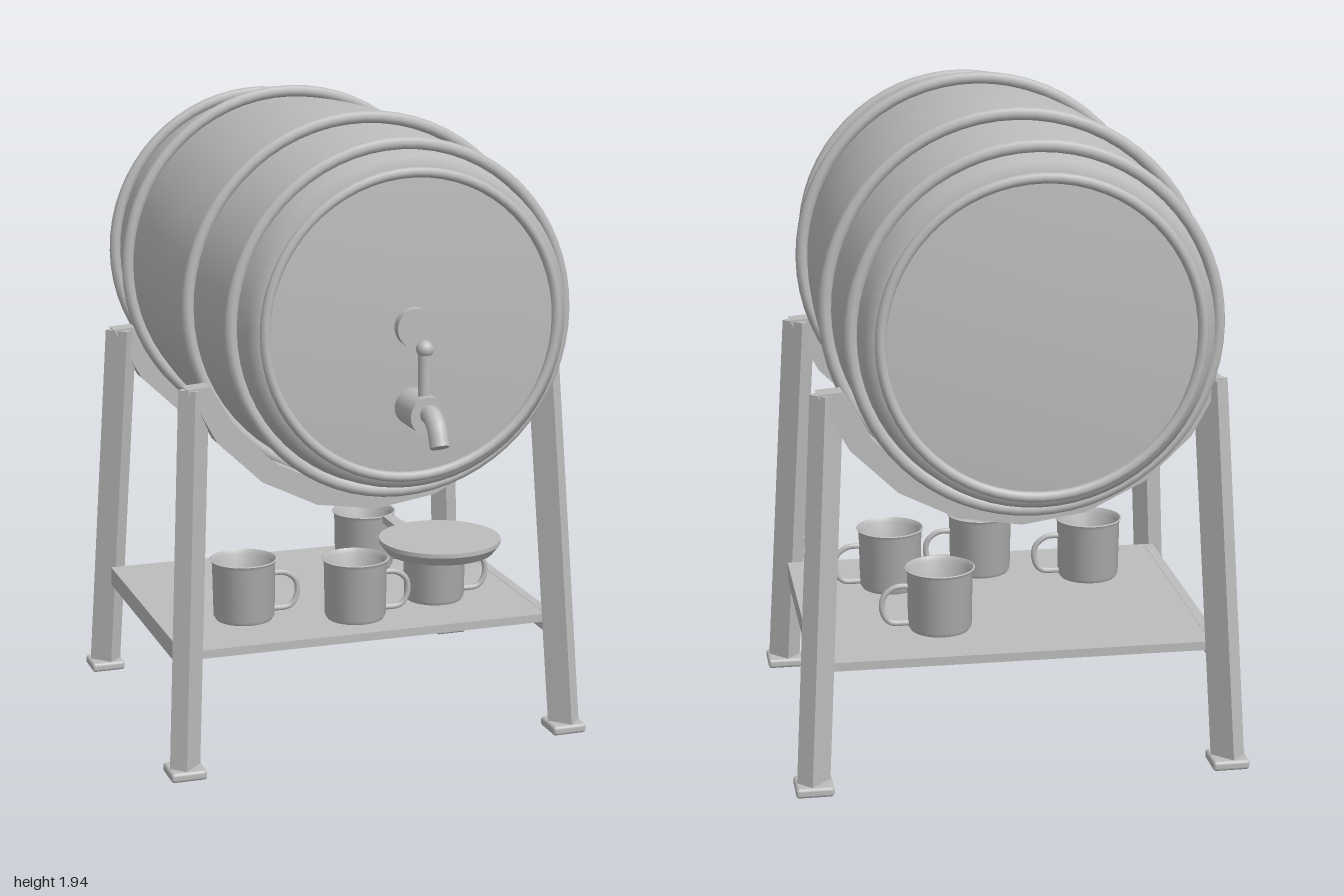
import * as THREE from 'three';
import { toCreasedNormals } from 'three/addons/utils/BufferGeometryUtils.js';
import { RoundedBoxGeometry } from 'three/addons/geometries/RoundedBoxGeometry.js';

const AXIS_Y = 1.381; // height of the barrel axis
const MID_Z = -0.19;  // middle of the barrel

export function createModel() {
  const model = new THREE.Group();
  const grey = new THREE.MeshStandardMaterial({ color: 0xbcbcbc });
  grey.name = 'lightGrey';

  function add(parent, name, geometry, x = 0, y = 0, z = 0) {
    const mesh = new THREE.Mesh(geometry, grey);
    mesh.name = name;
    mesh.position.set(x, y, z);
    parent.add(mesh);
    return mesh;
  }
  // Smooth lathe from [radius, height] pairs
  function lathe(points, segments) {
    return new THREE.LatheGeometry(points.map(([r, h]) => new THREE.Vector2(r, h)), segments);
  }

  // Barrel: half profile mirrored about its middle, shaded smoothly into the heads
  const half = [[0.541, 0.12], [0.534, 0.26], [0.522, 0.41], [0.502, 0.62],
    [0.478, 0.765], [0.44, 0.796], [0, 0.796]];
  const profile = [...half.map(([r, h]) => [r, -h]).reverse(), [0.545, 0], ...half];
  const barrel = new THREE.Group();
  barrel.name = 'barrel';
  barrel.position.set(0, AXIS_Y, MID_Z);
  model.add(barrel);
  add(barrel, 'barrelBody', lathe(profile, 64).rotateX(Math.PI / 2));

  // Hoops, mirrored front and back
  for (const side of [-1, 1]) {
    for (const [radius, offset, tube] of [[0.543, 0.365, 0.019], [0.506, 0.69, 0.019], [0.438, 0.797, 0.015]]) {
      add(barrel, 'hoop', new THREE.TorusGeometry(radius, tube, 8, 64), 0, 0, side * offset);
    }
  }

  // Bung in the front head
  add(model, 'bung', new THREE.CylinderGeometry(0.057, 0.057, 0.05, 24).rotateX(Math.PI / 2), 0, AXIS_Y, 0.612);

  // Tap: body, bent spout, lever and knob
  const tap = new THREE.Group();
  tap.name = 'tap';
  model.add(tap);
  add(tap, 'tapBody', new THREE.CylinderGeometry(0.055, 0.055, 0.15, 24).rotateX(Math.PI / 2), 0, 1.15, 0.665);
  const bend = new THREE.CatmullRomCurve3([
    new THREE.Vector3(0, 1.155, 0.72), new THREE.Vector3(0, 1.155, 0.765),
    new THREE.Vector3(0, 1.13, 0.80), new THREE.Vector3(0, 1.08, 0.825)]);
  add(tap, 'spout', new THREE.TubeGeometry(bend, 8, 0.028, 12));
  const end = add(tap, 'spoutEnd', new THREE.CircleGeometry(0.028, 12), 0, 1.08, 0.825);
  end.lookAt(bend.getPoint(1).add(bend.getTangent(1)));
  add(tap, 'lever', new THREE.CylinderGeometry(0.019, 0.019, 0.15, 12), 0, 1.26, 0.70);
  add(tap, 'knob', new THREE.SphereGeometry(0.025, 16, 12), 0, 1.335, 0.70);

  // Drip tray on a cranked arm
  const tray = lathe([[0, 0], [0.15, 0], [0.17, 0.026], [0.17, 0.038], [0, 0.038]], 40);
  add(model, 'dripTray', toCreasedNormals(tray, 0.6), 0, 0.787, 0.83);
  const armShape = new THREE.Shape([[0.4, 0.75], [0.57, 0.75], [0.83, 0.772],
    [0.83, 0.792], [0.58, 0.772], [0.4, 0.772]].map(([z, y]) => new THREE.Vector2(-z, y)));
  add(model, 'trayArm', new THREE.ExtrudeGeometry(armShape, { depth: 0.036, bevelEnabled: false })
    .translate(0, 0, -0.018).rotateY(Math.PI / 2));

  // Stand: splayed legs turned to the diagonal, with square feet
  const stand = new THREE.Group();
  stand.name = 'stand';
  model.add(stand);
  for (const sx of [-1, 1]) {
    for (const sz of [-1, 1]) {
      const z = MID_Z + sz * 0.516;
      const height = 1.14;
      const leg = new THREE.BoxGeometry(0.08, height, 0.058)
        .translate(0, height / 2, 0)
        .rotateY(-sx * sz * Math.PI / 4)
        .applyMatrix4(new THREE.Matrix4().makeShear(0, 0, -sx * 0.062 / height, -sz * 0.069 / height, 0, 0));
      add(stand, 'leg', leg, sx * 0.612, 0.025, z);
      add(stand, 'foot', new RoundedBoxGeometry(0.11, 0.03, 0.11, 2, 0.01), sx * 0.612, 0.015, z);
    }
    // Side rail under the shelf edge
    add(stand, 'sideRail', new THREE.BoxGeometry(0.03, 0.06, 0.9), sx * 0.585, 0.335, MID_Z);
  }
  add(stand, 'shelf', new THREE.BoxGeometry(1.15, 0.026, 0.91), 0, 0.351, MID_Z);

  // Faceted cradles under the barrel, one at each pair of legs
  const cradlePoints = [];
  const steps = 8;
  for (const [radius, from, to] of [[0.618, 200, 340], [0.55, 338, 202]]) {
    for (let i = 0; i <= steps; i++) {
      const a = THREE.MathUtils.degToRad(from + (to - from) * i / steps);
      cradlePoints.push(new THREE.Vector2(Math.cos(a) * radius, Math.sin(a) * radius));
    }
  }
  for (const side of [-1, 1]) {
    add(stand, 'cradle', new THREE.ExtrudeGeometry(new THREE.Shape(cradlePoints), { depth: 0.06, bevelEnabled: false }),
      0, AXIS_Y, MID_Z + side * 0.453 - 0.03);
  }

  // Mugs: open cups with a flared lip and a round handle
  const cup = toCreasedNormals(lathe([[0, 0], [0.088, 0], [0.095, 0.012], [0.098, 0.178], [0.105, 0.19],
    [0.1, 0.192], [0.091, 0.178], [0.087, 0.015], [0, 0.015]], 32), 0.6);
  const handlePath = new THREE.CatmullRomCurve3([[0.085, 0.135], [0.135, 0.132], [0.168, 0.105],
    [0.172, 0.06], [0.15, 0.025], [0.085, 0.02]].map(([x, y]) => new THREE.Vector3(x, y, 0)));
  const handle = new THREE.TubeGeometry(handlePath, 20, 0.009, 8);
  for (const [x, z] of [[-0.33, 0], [0, 0.1], [0.3, -0.005], [0.2, -0.4]]) {
    const mug = new THREE.Group();
    mug.name = 'mug';
    mug.position.set(x, 0.364, z);
    model.add(mug);
    add(mug, 'cup', cup);
    add(mug, 'mugHandle', handle);
  }

  return model;
}
